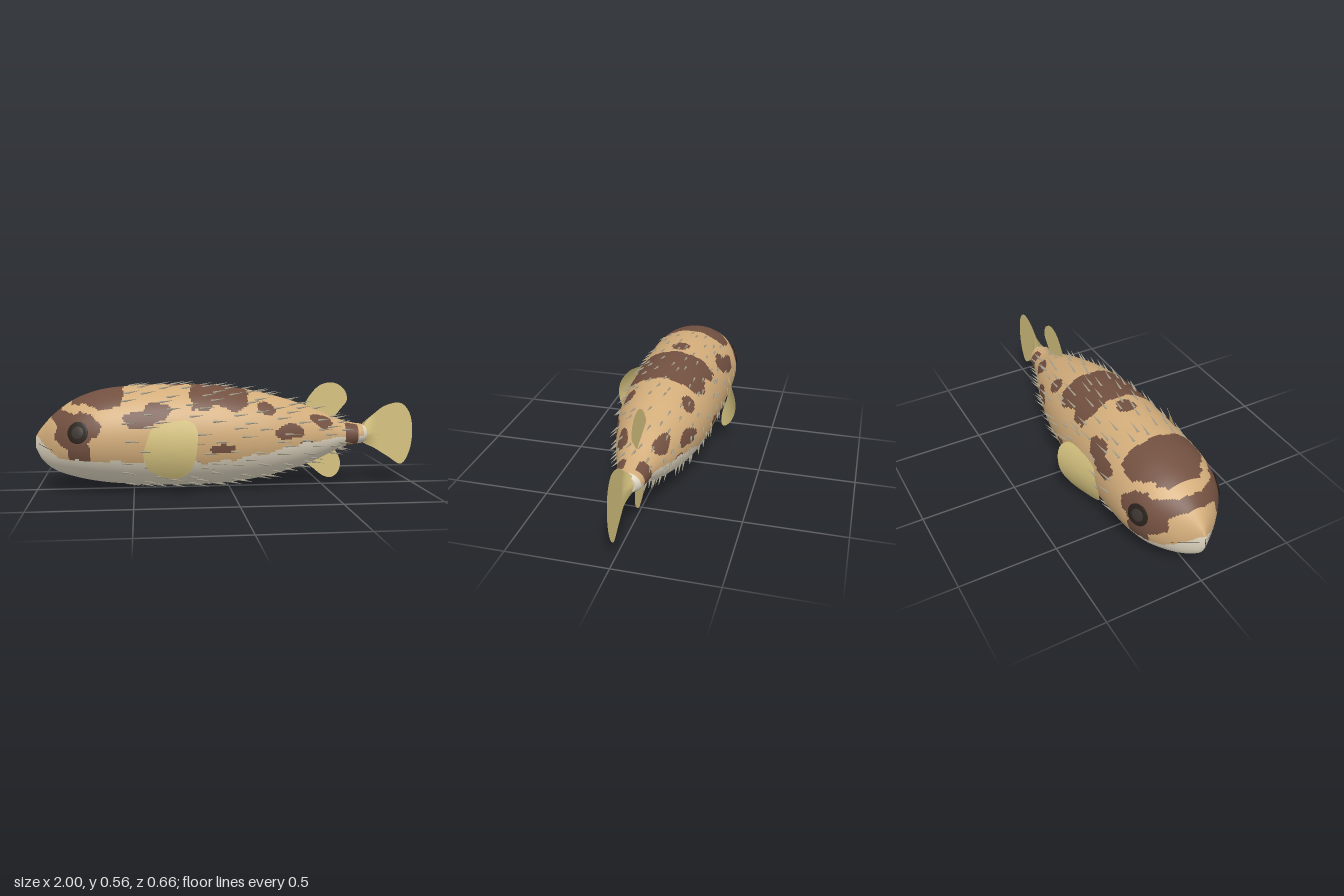
import * as THREE from 'three';
import { mergeGeometries } from 'three/addons/utils/BufferGeometryUtils.js';

const material = (name, color, side = THREE.FrontSide) => {
  const m = new THREE.MeshStandardMaterial({ color, side });
  m.name = name;
  return m;
};

// Body stations: x, top, bottom, half width
const STATIONS = [
  [-1, 0.28, 0.22, 0.002], [-0.97, 0.325, 0.16, 0.04], [-0.9, 0.4, 0.105, 0.125],
  [-0.8, 0.47, 0.07, 0.208], [-0.7, 0.51, 0.048, 0.24], [-0.6, 0.53, 0.034, 0.25],
  [-0.4, 0.543, 0.02, 0.25], [-0.2, 0.543, 0.016, 0.246], [0, 0.528, 0.025, 0.239],
  [0.2, 0.49, 0.055, 0.212], [0.4, 0.43, 0.11, 0.157], [0.5, 0.39, 0.15, 0.122],
  [0.6, 0.347, 0.195, 0.088], [0.68, 0.327, 0.213, 0.073], [0.71, 0.323, 0.217, 0.066],
  [0.735, 0.312, 0.228, 0.045],
];
const END = 0.735;

// Smooth interpolation of the stations at any x
function section(x) {
  const S = STATIONS, last = S.length - 1;
  let i = 0;
  while (i < last - 1 && x > S[i + 1][0]) i++;
  const slope = (k, c) => {
    const a = S[Math.max(k - 1, 0)], b = S[Math.min(k + 1, last)];
    return (b[c] - a[c]) / (b[0] - a[0]);
  };
  const d = S[i + 1][0] - S[i][0], t = (x - S[i][0]) / d, t2 = t * t, t3 = t2 * t;
  const [top, bottom, w] = [1, 2, 3].map((c) =>
    (2 * t3 - 3 * t2 + 1) * S[i][c] + (t3 - 2 * t2 + t) * d * slope(i, c) +
    (3 * t2 - 2 * t3) * S[i + 1][c] + (t3 - t2) * d * slope(i + 1, c));
  return { c: (top + bottom) / 2, h: (top - bottom) / 2, w };
}

function surface(x, a) {
  const s = section(x);
  return new THREE.Vector3(x, s.c + s.h * Math.sin(a), s.w * Math.cos(a));
}

// Angle around the body at which the left flank reaches height y
function angleAt(x, y) {
  const s = section(x);
  return Math.asin((y - s.c) / s.h);
}

function surfaceNormal(x, a) {
  const e = 0.004;
  const along = surface(x + e, a).sub(surface(x - e, a));
  const around = surface(x, a + e).sub(surface(x, a - e));
  return along.cross(around).normalize();
}

// Side blotches, mirrored: x, angle, radius along, radius around
const BLOTCHES = [
  [-0.78, 0.33, 0.11, 0.095], [-0.765, 0.22, 0.06, 0.07], [-0.46, 0.39, 0.085, 0.045],
  [-0.38, 0.43, 0.075, 0.05], [-0.05, 0.235, 0.065, 0.024], [0.29, 0.31, 0.075, 0.042],
  [0.18, 0.43, 0.045, 0.045], [0.47, 0.355, 0.065, 0.04], [0.39, 0.235, 0.045, 0.025],
].map(([x, y, rx, ry]) => [x, angleAt(x, y), rx, ry]);

// 0 tan, 1 brown, 2 cream
function skin(p, sine) {
  const { x, y } = p, z = Math.abs(p.z);
  const n = Math.sin(x * 37 + y * 23) * 0.5 + Math.sin(y * 61 - x * 29 + z * 17) * 0.35 + Math.sin(x * 83 + z * 51) * 0.25;
  if (x > 0.71) return 2;
  if (x > 0.57 && sine < -0.85) return 1;
  if (x > 0.62 + n * 0.008 && x < 0.688 && sine < 0.92) return 1;
  if (x < -0.87 && y < 0.28 - (x + 1) * 0.75 + n * 0.01) return 2;
  const line = -0.42 + 0.34 * THREE.MathUtils.smoothstep(x, -0.1, 0.56);
  if (sine < line + n * 0.05) return 2;
  if (y > 0.3 && Math.abs(x + 0.89 - 2.8 * z * z + n * 0.008) < 0.027) return 1;
  if (y > 0.445 + n * 0.015 && Math.abs(x + 0.682 + n * 0.012) < 0.125) return 1;
  if (y > 0.43 + n * 0.025 && Math.abs(x + 0.06 + n * 0.015) < 0.15) return 1;
  if (y > 0.4 && Math.hypot((x + 0.285) * 0.9, z) < 0.047 + n * 0.012) return 1;
  const a = Math.asin(sine), h = section(x).h;
  return BLOTCHES.some(([bx, ba, rx, ry]) =>
    Math.hypot((x - bx) / rx, (a - ba) * h / ry) < 1 + n * 0.2) ? 1 : 0;
}

// Lofted body, each small face sorted into its colour group
function bodyGeometry() {
  const NX = 210, NA = 128, positions = [], lists = [[], [], []];
  const xAt = (i) => -1 + (1 + END) * Math.pow(i / NX, 1.25);
  const angle = (j) => (j / NA) * Math.PI * 2;
  for (let i = 0; i <= NX; i++)
    for (let j = 0; j < NA; j++) positions.push(...surface(xAt(i), angle(j)).toArray());
  for (let i = 0; i < NX; i++)
    for (let j = 0; j < NA; j++) {
      const k = (j + 1) % NA, a = i * NA + j, b = a + NA, c = (i + 1) * NA + k, d = i * NA + k;
      const mid = angle(j + 0.5);
      lists[skin(surface(xAt(i + 0.5), mid), Math.sin(mid))].push(a, b, c, a, c, d);
    }
  const g = new THREE.BufferGeometry();
  g.setAttribute('position', new THREE.Float32BufferAttribute(positions, 3));
  g.setIndex(lists.flat());
  let start = 0;
  lists.forEach((l, m) => { g.addGroup(start, l.length, m); start += l.length; });
  g.computeVertexNormals();
  return g;
}

// Fin membrane: a closed outline filled with rings, bent by depth(x, y)
function finGeometry(outline, depth) {
  const curve = new THREE.CatmullRomCurve3(outline.map(([x, y]) => new THREE.Vector3(x, y, 0)), true);
  const N = 56, R = 8, rim = curve.getSpacedPoints(N).slice(0, N);
  const centre = rim.reduce((s, p) => s.add(p), new THREE.Vector3()).divideScalar(N);
  const positions = [], index = [];
  for (let r = 0; r <= R; r++)
    for (const p of rim) {
      const q = centre.clone().lerp(p, r / R);
      positions.push(q.x, q.y, depth(q.x, q.y));
    }
  for (let r = 0; r < R; r++)
    for (let j = 0; j < N; j++) {
      const k = (j + 1) % N, a = r * N + j, b = r * N + k, c = a + N, d = b + N;
      if (r > 0) index.push(a, d, b);
      index.push(a, c, d);
    }
  const g = new THREE.BufferGeometry();
  g.setAttribute('position', new THREE.Float32BufferAttribute(positions, 3));
  g.setIndex(index);
  g.computeVertexNormals();
  return g;
}

// Backswept cones in staggered rings
function spineGeometry() {
  const cones = [], up = new THREE.Vector3(0, 1, 0), back = new THREE.Vector3(1, 0, 0);
  for (let ring = 0; ring < 16; ring++) {
    const station = -0.53 + ring * 0.075;
    const n = Math.round(6 + 10 * section(station).w / 0.25);
    for (let k = 0; k < n; k++) {
      const x = station + 0.02 * Math.sin(k * 5.3 + ring * 2.1);
      const a = ((k + (ring % 2) / 2 + 0.2 * Math.sin(k * 3.7 + ring)) / n) * Math.PI * 2;
      const dir = back.clone().addScaledVector(surfaceNormal(x, a), 0.23).normalize();
      const cone = new THREE.ConeGeometry(0.0062, 0.08, 6);
      cone.translate(0, 0.032, 0);
      cone.applyQuaternion(new THREE.Quaternion().setFromUnitVectors(up, dir));
      const p = surface(x, a);
      cones.push(cone.translate(p.x, p.y, p.z));
    }
  }
  return mergeGeometries(cones);
}

export function createModel() {
  const model = new THREE.Group();
  model.name = 'spinyFish';
  const tan = material('tanSkin', 0xd3ad7b), brown = material('brownBlotch', 0x725040);
  const cream = material('creamBelly', 0xe0d7c2), spineGrey = material('spineGrey', 0xa9a28e);
  const finYellow = material('finYellow', 0xd5c27f, THREE.DoubleSide);
  const dark = material('eyeRim', 0x2a211b), lens = material('pupil', 0x3d3732);
  const add = (name, geometry, mat, parent = model) => {
    const mesh = new THREE.Mesh(geometry, mat);
    mesh.name = name;
    parent.add(mesh);
  };

  add('body', bodyGeometry(), [tan, brown, cream]);
  const end = section(END);
  add('tailStump', new THREE.CircleGeometry(1, 40).rotateY(Math.PI / 2).scale(1, end.h, end.w).translate(END, end.c, 0), cream);
  add('spines', spineGeometry(), spineGrey);

  // Fins on the centre line, two thin faces each; the tail fin thickens at its root
  const dorsal = [[0.41, 0.425], [0.45, 0.5], [0.5, 0.538], [0.565, 0.543], [0.62, 0.505],
    [0.633, 0.45], [0.6, 0.405], [0.55, 0.355], [0.47, 0.38]];
  const anal = [[0.4, 0.135], [0.45, 0.09], [0.51, 0.044], [0.555, 0.034], [0.595, 0.07],
    [0.6, 0.13], [0.555, 0.195], [0.47, 0.16]];
  const tail = [[0.72, 0.31], [0.79, 0.38], [0.845, 0.418], [0.93, 0.432], [0.98, 0.38], [0.999, 0.27],
    [0.98, 0.155], [0.94, 0.1], [0.87, 0.14], [0.79, 0.19], [0.72, 0.23]];
  const root = (x, y) => 0.045 * Math.max(0, 1 - (x - 0.72) / 0.075) * Math.max(0, 1 - Math.abs(y - 0.27) / 0.09);

  // Paired parts
  const pectoral = [[-0.455, 0.25], [-0.45, 0.3], [-0.4, 0.345], [-0.32, 0.375], [-0.225, 0.385], [-0.19, 0.35],
    [-0.19, 0.26], [-0.21, 0.16], [-0.26, 0.1], [-0.35, 0.095], [-0.43, 0.14]];
  const cup = (x, y) => 0.245 + 0.085 * (x + 0.455) / 0.265 - 2.1 * (y - 0.255) ** 2;
  for (const s of [1, -1]) {
    const side = s > 0 ? 'left' : 'right';
    const flank = (x, y) => (s > 0 ? angleAt(x, y) : Math.PI - angleAt(x, y));
    add(side + 'DorsalFin', finGeometry(dorsal, () => s * 0.002), finYellow);
    add(side + 'AnalFin', finGeometry(anal, () => s * 0.002), finYellow);
    add(side + 'TailFin', finGeometry(tail, (x, y) => s * (0.0025 + root(x, y))), finYellow);
    add(side + 'PectoralFin', finGeometry(pectoral, (x, y) => s * cup(x, y)), finYellow);

    const a = flank(-0.77, 0.325);
    const eye = new THREE.Group();
    eye.name = side + 'Eye';
    eye.position.copy(surface(-0.77, a));
    eye.quaternion.setFromUnitVectors(new THREE.Vector3(0, 0, 1), surfaceNormal(-0.77, a));
    add('eyeRim', new THREE.SphereGeometry(0.055, 28, 16).scale(1, 1, 0.11), dark, eye);
    add('pupil', new THREE.SphereGeometry(0.038, 28, 16).scale(1, 1, 0.23), lens, eye);
    model.add(eye);

    const lip = [-0.985, -0.965, -0.94, -0.905].map((x, i) => surface(x, flank(x, 0.247 - i * 0.007)));
    add(side + 'MouthLine', new THREE.TubeGeometry(new THREE.CatmullRomCurve3(lip), 20, 0.001, 6), dark);
  }
  return model;
}
